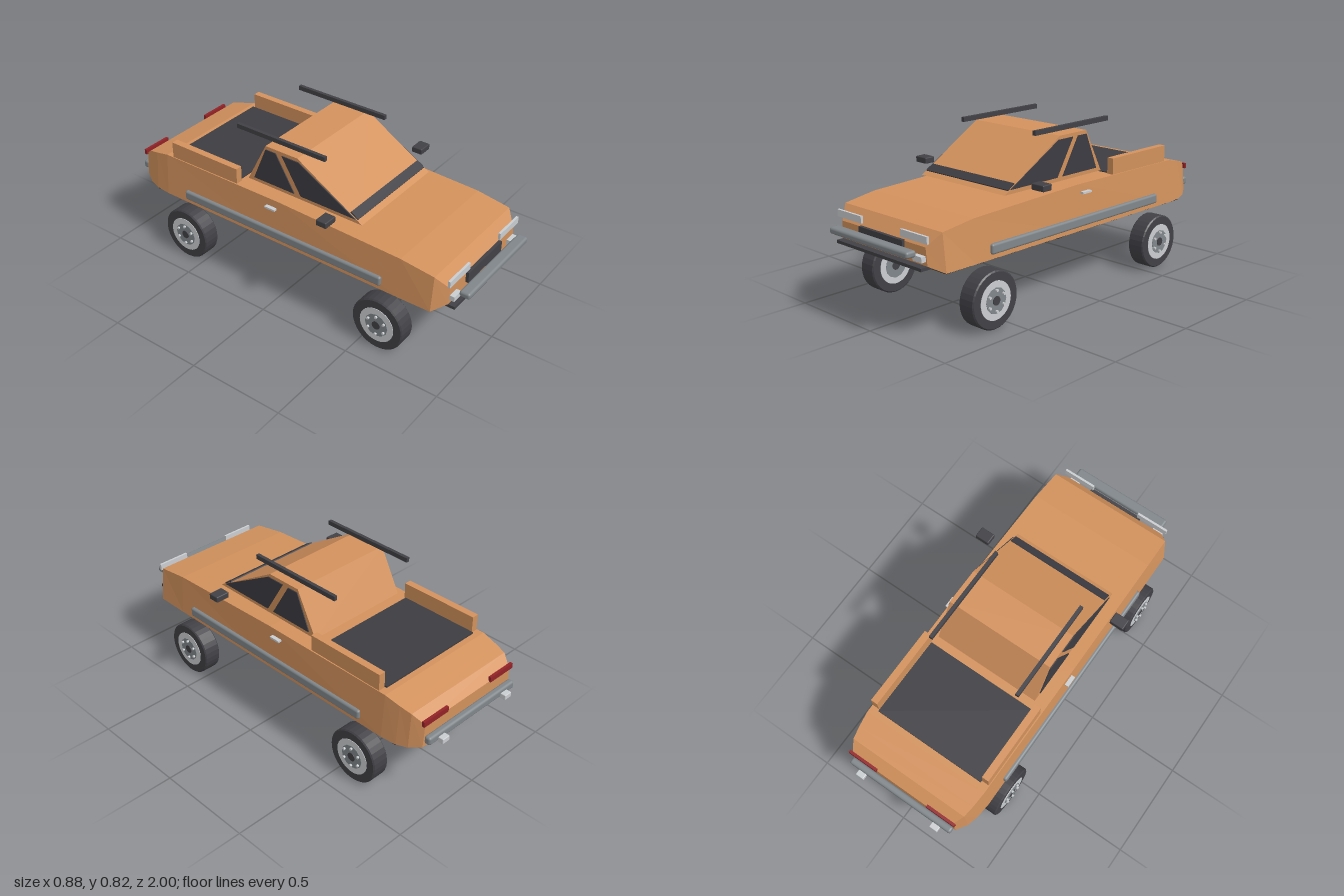
import * as THREE from 'three';
import { RoundedBoxGeometry } from 'three/addons/geometries/RoundedBoxGeometry.js';

const mat = (name, color) => {
  const m = new THREE.MeshStandardMaterial({ color });
  m.name = name;
  return m;
};

export function createModel() {
  const paint = mat('orangePaint', 0xd2915c);
  const rubber = mat('darkRubber', 0x414146);
  const glass = mat('darkGlass', 0x3c3c42);
  const under = mat('underside', 0x242428);
  const steel = mat('greySteel', 0x80868a);
  const bright = mat('brightSilver', 0xcacdd0);
  const red = mat('redLens', 0x922226);

  const car = new THREE.Group();
  car.name = 'pickup';
  const add = (name, geo, material, x = 0, y = 0, z = 0, parent = car) => {
    const m = new THREE.Mesh(geo, material);
    m.name = name;
    m.position.set(x, y, z);
    parent.add(m);
    return m;
  };
  // Box given by its extents on each axis
  const box = (name, material, [x0, x1], [y0, y1], [z0, z1], round = 0) => {
    const s = [x1 - x0, y1 - y0, z1 - z0];
    const geo = round ? new RoundedBoxGeometry(...s, 2, round) : new THREE.BoxGeometry(...s);
    return add(name, geo, material, (x0 + x1) / 2, (y0 + y1) / 2, (z0 + z1) / 2);
  };
  const pair = (name, material, [x0, x1], y, z, round) => {
    box(name + 'Left', material, [x0, x1], y, z, round);
    box(name + 'Right', material, [-x1, -x0], y, z, round);
  };

  // Lower body: four-cornered sections from tail to nose, flat faces
  // [z, bottom y, bottom half width, top y, top half width]
  const sections = [
    [-0.935, 0.345, 0.305, 0.465, 0.295],
    [-0.88, 0.33, 0.338, 0.51, 0.325],
    [-0.82, 0.32, 0.352, 0.525, 0.335],
    [-0.74, 0.32, 0.36, 0.545, 0.343],
    [0, 0.32, 0.36, 0.55, 0.347],
    [0.68, 0.32, 0.36, 0.525, 0.343],
    [0.855, 0.32, 0.358, 0.5, 0.338],
    [0.91, 0.352, 0.3, 0.435, 0.29],
  ].map(([z, yb, wb, yt, wt]) => [[wb, yb, z], [wt, yt, z], [-wt, yt, z], [-wb, yb, z]]);
  const pos = [];
  const quad = (a, b, c, d) => pos.push(...a, ...b, ...c, ...a, ...c, ...d);
  for (let i = 0; i < sections.length - 1; i++) {
    const s = sections[i], t = sections[i + 1];
    for (let j = 0; j < 4; j++) {
      const k = (j + 1) % 4;
      quad(s[j], s[k], t[k], t[j]);
    }
  }
  const tail = sections[0], nose = sections[sections.length - 1];
  quad(...nose);
  quad(tail[3], tail[2], tail[1], tail[0]);
  const bodyGeo = new THREE.BufferGeometry();
  bodyGeo.setAttribute('position', new THREE.Float32BufferAttribute(pos, 3));
  bodyGeo.computeVertexNormals();
  add('body', bodyGeo, paint);
  box('floorPan', under, [-0.35, 0.35], [0.315, 0.323], [-0.82, 0.85]);

  // Side profiles drawn as (z, y) and extruded across x
  const profile = (name, material, points, x0, x1) => {
    const shape = new THREE.Shape(points.map(p => new THREE.Vector2(...p)));
    const geo = new THREE.ExtrudeGeometry(shape, { depth: x1 - x0, bevelEnabled: false });
    add(name, geo, material, x1).rotation.y = -Math.PI / 2;
  };
  // Cabin and its windows
  profile('cabin', paint, [[0.43, 0.567], [0.06, 0.788], [-0.13, 0.788], [-0.245, 0.567]], -0.285, 0.285);
  const frontWindow = [[0.395, 0.588], [0.08, 0.588], [-0.03, 0.77], [0.07, 0.77]];
  const rearWindow = [[0.04, 0.588], [-0.205, 0.588], [-0.128, 0.77], [-0.068, 0.77]];
  for (const [side, x0, x1] of [['Left', 0.283, 0.29], ['Right', -0.29, -0.283]]) {
    profile('frontWindow' + side, glass, frontWindow, x0, x1);
    profile('rearWindow' + side, glass, rearWindow, x0, x1);
  }
  add('windscreenStrip', new THREE.BoxGeometry(0.56, 0.008, 0.049), glass, 0, 0.597, 0.383)
    .rotation.x = Math.atan2(0.221, 0.37);

  // Roof, bed and side fittings
  pair('roofRail', rubber, [0.234, 0.252], [0.802, 0.825], [-0.335, 0.193]);
  pair('bedWall', paint, [0.303, 0.339], [0.54, 0.63], [-0.7, -0.275]);
  box('bedFloor', glass, [-0.3, 0.3], [0.545, 0.553], [-0.71, -0.285]);
  pair('mirror', rubber, [0.362, 0.438], [0.592, 0.623], [0.28, 0.338], 0.005);
  pair('doorHandle', bright, [0.345, 0.369], [0.502, 0.512], [-0.08, -0.02]);
  pair('sideTrim', steel, [0.345, 0.372], [0.342, 0.392], [-0.608, 0.592], 0.011);

  // Front end
  box('frontBumper', steel, [-0.273, 0.273], [0.396, 0.428], [0.945, 1], 0.012);
  box('grille', rubber, [-0.152, 0.152], [0.385, 0.44], [0.908, 0.925]);
  box('frontLip', rubber, [-0.296, 0.296], [0.334, 0.349], [0.885, 0.943]);
  pair('headlight', bright, [0.137, 0.312], [0.454, 0.488], [0.909, 0.921]);
  pair('fogLight', bright, [0.231, 0.29], [0.37, 0.396], [0.905, 0.935]);

  // Rear end
  box('rearBumper', steel, [-0.3, 0.3], [0.366, 0.408], [-0.97, -0.935], 0.012);
  pair('bumperGuard', bright, [0.198, 0.243], [0.362, 0.389], [-0.998, -0.965], 0.004);
  pair('tailLight', red, [0.148, 0.31], [0.462, 0.489], [-0.942, -0.928]);

  // Wheels, built along their axle with the outer face towards +y
  const tyreGeo = new THREE.LatheGeometry([
    [0.085, -0.046], [0.133, -0.046], [0.139, -0.04], [0.139, 0.04], [0.133, 0.046], [0.085, 0.046],
  ].map(p => new THREE.Vector2(...p)), 32).toNonIndexed();
  tyreGeo.computeVertexNormals();
  const disc = (r, h, n = 32) => new THREE.CylinderGeometry(r, r, h, n);
  const makeWheel = name => {
    const w = new THREE.Group();
    w.name = name;
    add('tyre', tyreGeo, rubber, 0, 0, 0, w);
    add('rim', disc(0.093, 0.097), bright, 0, 0, 0, w);
    add('hubPlate', disc(0.062, 0.101, 12), steel, 0, 0, 0, w);
    add('hubCap', disc(0.022, 0.107, 16), rubber, 0, 0, 0, w);
    for (let i = 0; i < 6; i++) {
      const a = i * Math.PI / 3;
      add('wheelBolt', disc(0.007, 0.012, 8), bright, 0.05 * Math.cos(a), 0.054, 0.05 * Math.sin(a), w);
    }
    return w;
  };
  for (const [end, z] of [['front', 0.6], ['rear', -0.6]]) {
    for (const [side, s] of [['Left', 1], ['Right', -1]]) {
      const w = makeWheel(end + side + 'Wheel');
      w.position.set(s * 0.349, 0.139, z);
      w.rotation.z = -s * Math.PI / 2;
      car.add(w);
    }
  }
  return car;
}
